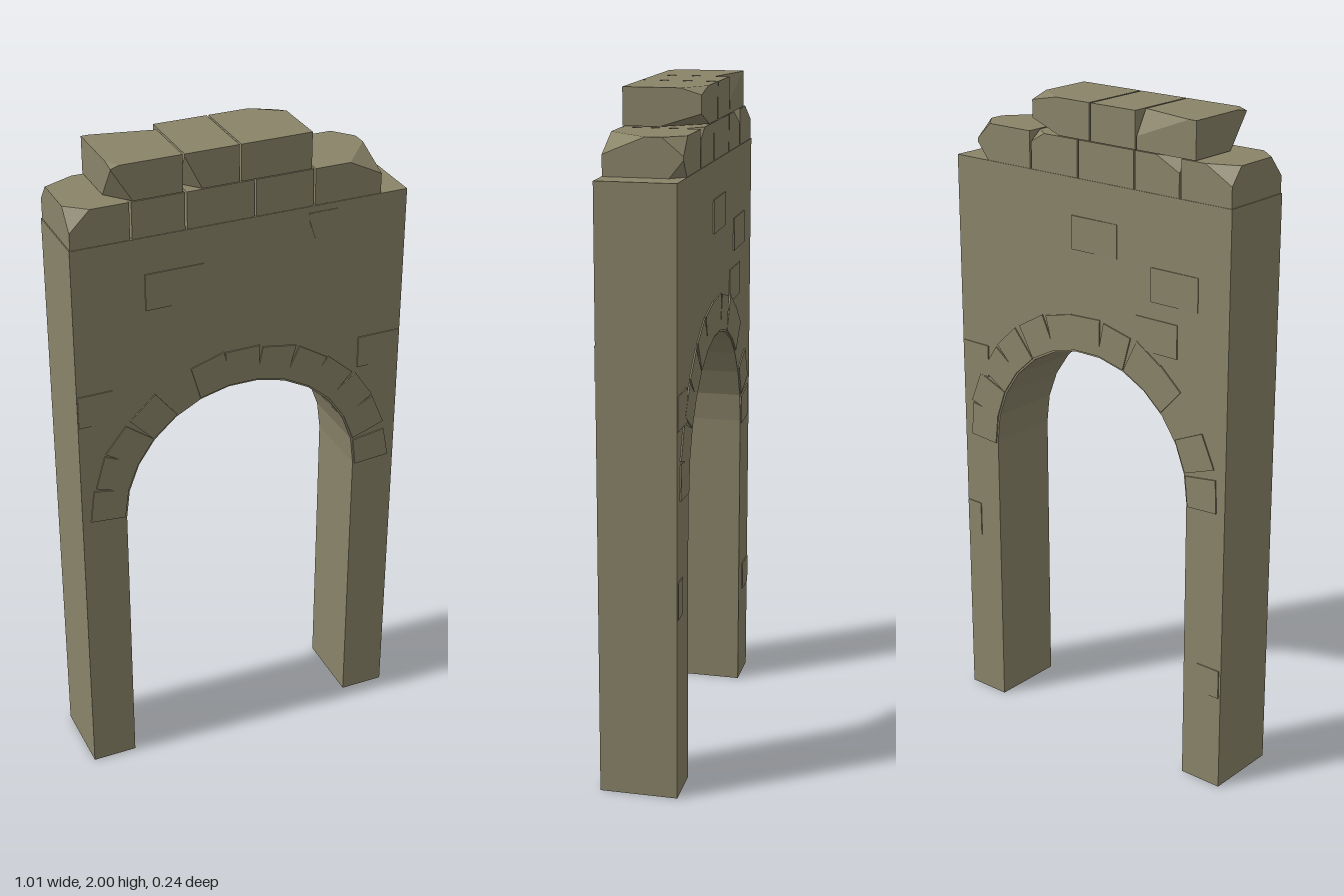
import * as THREE from 'three';
import { ConvexGeometry } from 'three/addons/geometries/ConvexGeometry.js';

export function createModel() {
  const group = new THREE.Group();
  group.name = 'ruinedArch';
  const stone = new THREE.MeshStandardMaterial({ color: 0x8a8469 });
  stone.name = 'weathered stone';

  const HALF = 0.507, DEPTH = 0.115, WALL_TOP = 1.78;
  const R = 0.37, SPRING = 0.893, COUNT = 13;

  let seed = 7;
  const jitter = (a) => {
    seed = (seed * 16807) % 2147483647;
    return (seed / 2147483647 - 0.5) * 2 * a;
  };
  const add = (geometry, name) => {
    const mesh = new THREE.Mesh(geometry, stone);
    mesh.name = name;
    group.add(mesh);
    return mesh;
  };

  // Wall with two piers and a faceted round opening
  const outline = new THREE.Shape();
  outline.moveTo(-HALF, 0);
  outline.lineTo(-R, 0);
  for (let i = 0; i <= COUNT; i++) {
    const a = Math.PI * (1 - i / COUNT);
    outline.lineTo(Math.cos(a) * R, SPRING + Math.sin(a) * R);
  }
  outline.lineTo(R, 0);
  outline.lineTo(HALF, 0);
  outline.lineTo(HALF, WALL_TOP);
  outline.lineTo(-HALF, WALL_TOP);
  outline.closePath();
  const wall = new THREE.ExtrudeGeometry(outline, { depth: DEPTH * 2, bevelEnabled: false });
  wall.translate(0, 0, -DEPTH);
  add(wall, 'wall');

  // Ring of slightly crooked arch stones on both faces, each with one lost stone
  for (const [side, face, lost] of [[1, 'front', 8], [-1, 'back', 10]]) {
    for (let i = 0; i < COUNT; i++) {
      if (i === lost) continue;
      const a = Math.PI * (i + 0.5) / COUNT;
      const w = 0.047 + jitter(0.003);
      const shape = new THREE.Shape();
      shape.moveTo(-w, 0.373);
      shape.lineTo(w, 0.373);
      shape.lineTo(w + 0.004, 0.48 + jitter(0.006));
      shape.lineTo(-w - 0.004, 0.48 + jitter(0.006));
      shape.closePath();
      const g = new THREE.ExtrudeGeometry(shape, { depth: 0.02, bevelEnabled: false });
      g.translate(0, 0, -0.01);
      const m = add(g, face + 'ArchStone');
      m.position.set(0, SPRING, side * 0.109);
      m.rotation.z = a - Math.PI / 2 + jitter(0.025);
    }
  }

  // Thin bricks standing just proud of the plaster: x0, x1, y0, y1
  const bricks = (list, side, name) => {
    for (const [x0, x1, y0, y1] of list) {
      const m = add(new THREE.BoxGeometry(x1 - x0, y1 - y0, 0.008), name);
      m.position.set((x0 + x1) / 2, (y0 + y1) / 2, side * 0.114);
      m.rotation.y = jitter(0.015);
    }
  };
  bricks([[-0.295, -0.12, 1.56, 1.67], [0.37, 0.505, 1.23, 1.33],
    [-0.505, -0.4, 1.23, 1.33]], 1, 'frontBrick');
  bricks([[-0.11, 0.056, 1.57, 1.67], [-0.4, -0.235, 1.47, 1.57], [-0.33, -0.18, 1.32, 1.42],
    [0.4, 0.505, 1.1, 1.2], [0.45, 0.505, 0.55, 0.66], [-0.5, -0.42, 0.3, 0.39]], -1, 'backBrick');

  // Broken brick near the top of the front
  const broken = new THREE.Shape([[0.2, 1.74], [0.22, 1.68], [0.29, 1.67], [0.31, 1.71], [0.29, 1.76], [0.2, 1.76]]
    .map(([x, y]) => new THREE.Vector2(x, y)));
  const brokenGeo = new THREE.ExtrudeGeometry(broken, { depth: 0.006, bevelEnabled: false });
  brokenGeo.translate(0, 0, 0.111);
  add(brokenGeo, 'brokenBrick');

  // Block with broken corners; each chip is [corner signs x, y, z, cut lengths x, y, z]
  const block = (x0, x1, y0, y1, chips, name) => {
    const pts = [];
    const gap = 0.003, z = 0.113;
    const xs = [x0 + gap, x1 - gap], ys = [y0, y1 - 0.002];
    for (const sx of [-1, 1]) for (const sy of [-1, 1]) for (const sz of [-1, 1]) {
      const p = new THREE.Vector3(xs[(sx + 1) / 2], ys[(sy + 1) / 2], sz * z);
      const chip = chips.find((c) => c[0] === sx && c[1] === sy && c[2] === sz);
      if (!chip) { pts.push(p); continue; }
      const [, , , cx, cy, cz] = chip;
      pts.push(p.clone().setX(p.x - sx * cx), p.clone().setY(p.y - sy * cy), p.clone().setZ(p.z - sz * cz));
    }
    add(new ConvexGeometry(pts), name);
  };

  // Lower broken course
  const L0 = WALL_TOP, L1 = 1.892;
  block(-0.507, -0.33, L0, L1, [[-1, 1, 1, 0.06, 0.06, 0.05], [-1, 1, -1, 0.09, 0.05, 0.04]], 'lowerBlock');
  block(-0.33, -0.17, L0, L1, [[-1, 1, -1, 0.08, 0.04, 0.05]], 'lowerBlock');
  block(-0.17, 0.035, L0, L1, [], 'lowerBlock');
  block(0.035, 0.215, L0, L1, [[1, 1, -1, 0.05, 0.03, 0.04]], 'lowerBlock');
  block(0.215, 0.427, L0, L1, [[1, 1, 1, 0.1, 0.05, 0.12], [1, 1, -1, 0.05, 0.05, 0.06],
    [1, -1, -1, 0.04, 0.05, 0.04]], 'lowerBlock');

  // Upper broken course
  const U0 = 1.892, U1 = 2.002;
  block(-0.385, -0.175, U0, U1, [[-1, -1, 1, 0.06, 0.1, 0.07], [-1, 1, 1, 0.025, 0.01, 0.04],
    [1, 1, -1, 0.18, 0.07, 0.04]], 'upperBlock');
  block(-0.175, -0.01, U0, U1, [[-1, -1, 1, 0.05, 0.1, 0.06]], 'upperBlock');
  block(-0.01, 0.208, U0, U1, [[1, -1, -1, 0.1, 0.09, 0.12], [1, 1, -1, 0.09, 0.07, 0.06]], 'upperBlock');

  return group;
}
